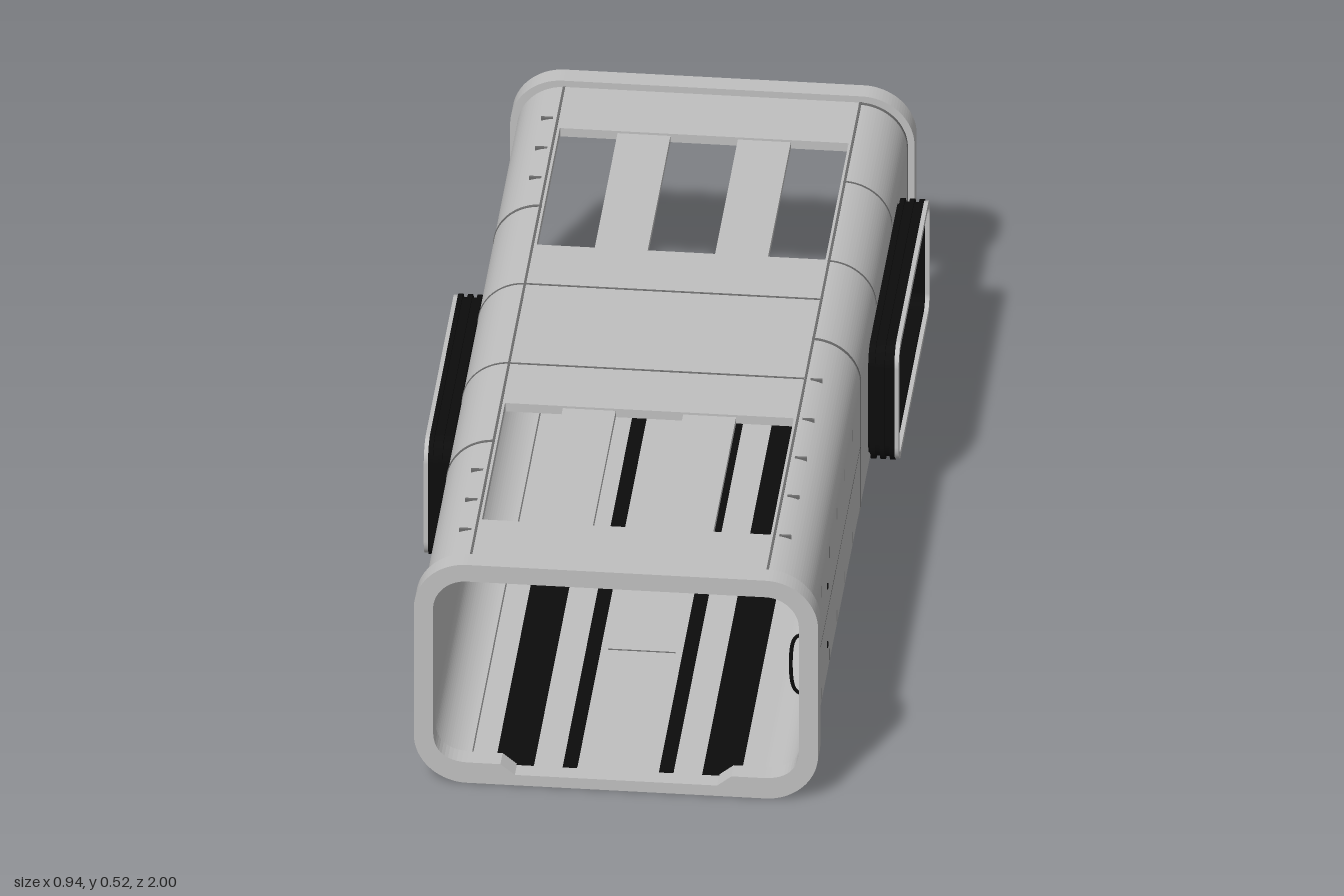
import * as THREE from 'three';

const mat = (name, color) => {
  const m = new THREE.MeshStandardMaterial({ color });
  m.name = name;
  return m;
};

// Rounded rectangle traced on a Shape or Path
function roundRect(p, cx, cy, w, h, r) {
  const x0 = cx - w / 2, x1 = cx + w / 2, y0 = cy - h / 2, y1 = cy + h / 2;
  p.moveTo(x0 + r, y0);
  p.lineTo(x1 - r, y0);
  p.absarc(x1 - r, y0 + r, r, -Math.PI / 2, 0, false);
  p.lineTo(x1, y1 - r);
  p.absarc(x1 - r, y1 - r, r, 0, Math.PI / 2, false);
  p.lineTo(x0 + r, y1);
  p.absarc(x0 + r, y1 - r, r, Math.PI / 2, Math.PI, false);
  p.lineTo(x0, y0 + r);
  p.absarc(x0 + r, y0 + r, r, Math.PI, Math.PI * 1.5, false);
  return p;
}

const extrude = (shape, depth) =>
  new THREE.ExtrudeGeometry(shape, { depth, bevelEnabled: false, curveSegments: 12 });

export function createModel() {
  const model = new THREE.Group();
  const grey = mat('light grey panel', 0xc0c0c0);
  const black = mat('black rubber', 0x0c0c0c);
  const seamGrey = mat('seam grey', 0x6c6c6c);
  const red = mat('dark red', 0x7a1010);

  const add = (parent, name, geo, material) => {
    const m = new THREE.Mesh(geo, material);
    m.name = name;
    parent.add(m);
    return m;
  };
  const box = (parent, name, material, x0, x1, y0, y1, z0, z1) => {
    const m = add(parent, name, new THREE.BoxGeometry(x1 - x0, y1 - y0, z1 - z0), material);
    m.position.set((x0 + x1) / 2, (y0 + y1) / 2, (z0 + z1) / 2);
    return m;
  };
  // Plate drawn in (z, y), its outer face at x = outer
  const sidePlate = (parent, name, material, shape, outer, depth) => {
    const g = extrude(shape, depth).rotateY(-Math.PI / 2);
    g.translate(outer, 0, 0);
    return add(parent, name, g, material);
  };

  // End rings with a stepped sill
  const R = 0.11;
  const ring = roundRect(new THREE.Shape(), 0, 0.2625, 0.84, 0.525, R);
  const inner = new THREE.Path();
  inner.moveTo(-0.21, 0.025);
  inner.lineTo(0.21, 0.025);
  inner.lineTo(0.24, 0.049);
  inner.lineTo(0.31, 0.049);
  inner.quadraticCurveTo(0.38, 0.052, 0.38, 0.12);
  inner.lineTo(0.38, 0.415);
  inner.absarc(0.31, 0.415, 0.07, 0, Math.PI / 2, false);
  inner.lineTo(-0.31, 0.485);
  inner.absarc(-0.31, 0.415, 0.07, Math.PI / 2, Math.PI, false);
  inner.lineTo(-0.38, 0.12);
  inner.quadraticCurveTo(-0.38, 0.052, -0.31, 0.049);
  inner.lineTo(-0.24, 0.049);
  inner.lineTo(-0.21, 0.025);
  ring.holes.push(inner);
  for (const [name, z] of [['frontRing', 0.955], ['backRing', -1]])
    add(model, name, extrude(ring, 0.045), grey).position.z = z;

  // Floor with black rails that show above and below
  box(model, 'floor', grey, -0.31, 0.31, 0.018, 0.023, -0.96, 0.96);
  for (const s of [-1, 1])
    for (const [name, x, w] of [['wideFloorRail', 0.215, 0.08], ['narrowFloorRail', 0.1, 0.03]])
      box(model, name, black, s * x - w / 2, s * x + w / 2, 0.015, 0.0255, -0.96, 0.96);
  for (const z of [-0.475, 0, 0.475])
    box(model, 'floorSeam', seamGrey, -0.07, 0.07, 0.02, 0.0235, z - 0.002, z + 0.002);

  // Roof with two skylight openings crossed by bars
  const roof = new THREE.Shape();
  roof.moveTo(-0.31, -0.96);
  roof.lineTo(0.31, -0.96);
  roof.lineTo(0.31, 0.96);
  roof.lineTo(-0.31, 0.96);
  for (const s of [-1, 1])
    roof.holes.push(roundRect(new THREE.Path(), 0, s * 0.555, 0.6, 0.47, 0.003));
  add(model, 'roof', extrude(roof, 0.02).rotateX(Math.PI / 2).translate(0, 0.51, 0), grey);
  for (const sz of [-1, 1])
    for (const sx of [-1, 1])
      box(model, 'skylightBar', grey, sx * 0.125 - 0.055, sx * 0.125 + 0.055,
        0.49, 0.505, sz * 0.555 - 0.24, sz * 0.555 + 0.24);
  for (const z of [-0.16, 0.16])
    box(model, 'roofSeam', seamGrey, -0.305, 0.305, 0.508, 0.511, z - 0.0025, z + 0.0025);
  for (const s of [-1, 1])
    box(model, 'roofEdgeSeam', seamGrey, s * 0.308 - 0.0025, s * 0.308 + 0.0025,
      0.508, 0.5115, -0.955, 0.955);

  // Quarter-round corner section
  const corner = (cy, a0, a1, ro, ri) => {
    const s = new THREE.Shape();
    s.absarc(0.305, cy, ro, a0, a1, false);
    s.absarc(0.305, cy, ri, a1, a0, true);
    return s;
  };
  const corners = [['upperCorner', 0.41, 0, Math.PI / 2], ['lowerCorner', 0.12, -Math.PI / 2, 0]];

  // One side wall facing +x with its window centred at zc
  const makeSide = (name, zc) => {
    const side = new THREE.Group();
    side.name = name;
    model.add(side);
    const W = 0.645, H = 0.282, cy = 0.259;

    const wall = new THREE.Shape();
    wall.moveTo(-0.96, 0.12);
    wall.lineTo(0.96, 0.12);
    wall.lineTo(0.96, 0.41);
    wall.lineTo(-0.96, 0.41);
    wall.holes.push(roundRect(new THREE.Path(), zc, cy, W - 0.02, H - 0.02, 0.04));
    sidePlate(side, 'wall', grey, wall, 0.405, 0.02);
    for (const [n, y, a0, a1] of corners)
      add(side, n, extrude(corner(y, a0, a1, 0.1, 0.08), 1.92), grey).position.z = -0.96;

    // Window frame: ribbed black body with a thin grey lip
    const frame = (inset, hole) => {
      const s = roundRect(new THREE.Shape(), zc, cy, W - 2 * inset, H - 2 * inset, 0.045);
      s.holes.push(roundRect(new THREE.Path(), zc, cy, W - 2 * hole, H - 2 * hole, 0.028));
      return s;
    };
    sidePlate(side, 'windowLining', black, frame(0.009, 0.028), 0.41, 0.026);
    for (let i = 0; i < 5; i++)
      sidePlate(side, 'windowRib', black, frame(i % 2 ? 0.005 : 0, 0.028), 0.42 + i * 0.01, 0.01);
    sidePlate(side, 'windowLip', grey, frame(0.002, 0.017), 0.469, 0.009);

    // Seams around the wall section
    for (const d of [-0.475, -0.16, 0.16, 0.475]) {
      const z = zc + d, w = Math.abs(d) > 0.3 ? 0.007 : 0.004;
      for (const [n, y, a0, a1] of corners)
        add(side, n + 'Seam', extrude(corner(y, a0, a1, 0.1015, 0.097), w), seamGrey)
          .position.z = z - w / 2;
      if (Math.abs(d) > 0.3)
        box(side, 'wallSeam', seamGrey, 0.402, 0.4065, 0.12, 0.41, z - w / 2, z + w / 2);
    }
    // Mid-height seam on the plain panels
    for (const [a, b] of [[-0.955, zc - 0.475], [zc + 0.475, 0.955]])
      if (b - a > 0.05)
        box(side, 'midSeam', seamGrey, 0.402, 0.406, 0.257, 0.261, a, b);
    return side;
  };

  const tick = (side, z) => {
    for (const y of [0.134, 0.38])
      box(side, 'slot', seamGrey, 0.402, 0.4065, y - 0.014, y + 0.014, z - 0.002, z + 0.002);
    box(side, 'topSlot', seamGrey, 0.318, 0.343, 0.503, 0.5105, z - 0.003, z + 0.003);
  };

  const right = makeSide('windowSideA', -0.475);
  for (const z of [0.16, 0.32, 0.475, 0.63, 0.79]) tick(right, z);

  // Small red markers under the window
  for (const z of [-0.355, -0.51])
    box(right, 'redMarker', red, 0.401, 0.4065, 0.101, 0.108, z - 0.036, z + 0.036);

  // Vertical grab handles inside, with bolts showing through
  for (const z of [0.67, 0.87]) {
    const pts = [[0.388, 0.18], [0.365, 0.182], [0.354, 0.2], [0.354, 0.3], [0.365, 0.318], [0.388, 0.32]];
    const path = new THREE.CatmullRomCurve3(pts.map(([x, y]) => new THREE.Vector3(x, y, z)), false, 'centripetal');
    add(right, 'grabHandle', new THREE.TubeGeometry(path, 30, 0.004, 8), black);
    for (const y of [0.18, 0.32]) {
      const bolt = add(right, 'handleBolt', new THREE.CylinderGeometry(0.007, 0.007, 0.006, 10), black);
      bolt.rotation.z = Math.PI / 2;
      bolt.position.set(0.404, y, z);
    }
  }

  const left = makeSide('windowSideB', 0);
  left.rotation.y = Math.PI;
  for (const z of [-0.83, -0.71, -0.59, 0.59, 0.71, 0.83]) tick(left, z);

  return model;
}
